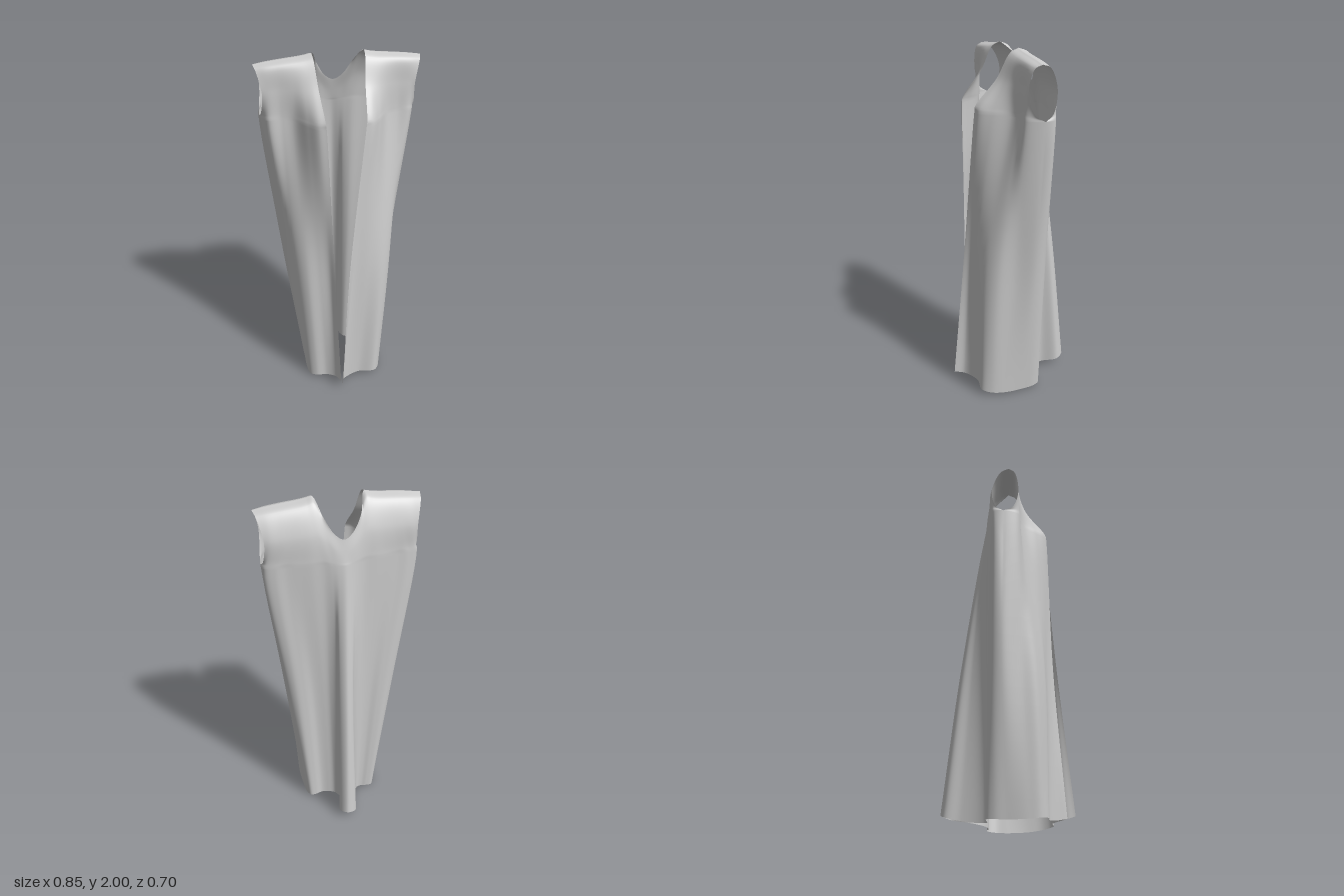
import * as THREE from 'three';
import { mergeGeometries, mergeVertices } from 'three/addons/utils/BufferGeometryUtils.js';

const COLS = 8, ROWS = 9;        // samples per control segment
const ARMPIT = 1.68, MID = 0.85;
const LIFT = [0.12, 0.53, 0.93, 1]; // heights of the upper rows, armpit to shoulder

// Cross-sections as [x, z], running from the left front edge round the back to the right front edge.
// Hem: the back swings out into a central pleat
const hem = [
  [-.036, .345], [-.022, .284], [.08, .236], [.18, .246], [.218, .2], [.232, .12], [.23, 0],
  [.225, -.07], [.205, -.108], [.17, -.11], [.13, -.1], [.09, -.11], [.055, -.13],
  [.03, -.2], [.068, -.3], [.03, -.35], [-.027, -.325], [-.042, -.24], [-.075, -.145],
  [-.1, -.11], [-.13, -.104], [-.16, -.11], [-.195, -.108], [-.215, -.07],
  [-.217, 0], [-.218, .1], [-.207, .17], [-.17, .198], [-.11, .206], [-.06, .242], [-.038, .302],
];
const mid = [
  [.015, .28], [.045, .254], [.13, .238], [.215, .216], [.268, .165], [.285, .07], [.317, -.03],
  [.305, -.08], [.27, -.11], [.22, -.115], [.17, -.11], [.12, -.12], [.08, -.135],
  [.048, -.175], [.055, -.235], [.018, -.27], [-.02, -.25], [-.04, -.2], [-.08, -.145],
  [-.12, -.12], [-.17, -.11], [-.22, -.115], [-.27, -.11], [-.31, -.08],
  [-.322, -.03], [-.29, .065], [-.267, .14], [-.215, .187], [-.145, .203], [-.095, .22], [-.067, .25],
];
// Left half at the armpit, from the front edge to the centre of the back
const armpitHalf = [
  [.1, .231], [.14, .218], [.185, .165], [.243, .087], [.3, .065], [.37, .058], [.408, -.03],
  [.4, -.085], [.35, -.105], [.29, -.11], [.23, -.12], [.17, -.13], [.11, -.135], [.07, -.145], [.035, -.153], [0, -.158],
];
// Upper left front, from the neckline to the armhole
const frontUpper = [
  [[.104, .226], [.142, .208], [.184, .156], [.24, .086], [.3, .063], [.365, .058], [.4, .022]],
  [[.118, .116], [.15, .111], [.19, .098], [.24, .076], [.3, .06], [.36, .057], [.392, .055]],
  [[.13, .045], [.165, .045], [.202, .046], [.25, .046], [.308, .045], [.367, .042], [.416, .034]],
  [[.133, 0], [.165, 0], [.202, 0], [.25, 0], [.31, 0], [.37, 0], [.427, 0]],
];
// Upper left back, from the armhole to the centre of the neck
const backUpper = [
  [[.4, -.074], [.385, -.094], [.336, -.106], [.28, -.112], [.225, -.12], [.17, -.129], [.115, -.134], [.075, -.142], [.037, -.15], [0, -.154]],
  [[.392, -.097], [.36, -.104], [.31, -.106], [.26, -.108], [.21, -.112], [.165, -.115], [.125, -.115], [.085, -.125], [.043, -.138], [0, -.142]],
  [[.416, -.048], [.367, -.052], [.308, -.054], [.25, -.055], [.202, -.055], [.165, -.053], [.132, -.05], [.094, -.094], [.047, -.12], [0, -.13]],
  [[.427, 0], [.37, 0], [.31, 0], [.25, 0], [.202, 0], [.165, 0], [.133, 0], [.095, -.088], [.048, -.117], [0, -.128]],
];
// Heights of the shoulder line and neckline, from the armhole to the centre of the back
const topY = [1.96, 1.969, 1.976, 1.982, 1.987, 1.993, 2, 1.92, 1.84, 1.81];

const mirrorX = row => row.map(([x, z]) => [-x, z]);
const mirrorAcross = row => [...row, ...mirrorX(row.slice(0, -1)).reverse()];
const raise = (row, height) => row.map(([x, z], i) => new THREE.Vector3(x, height(x, z, i), z));
const raiseUpper = (rows, tops) => rows.map((row, r) =>
  raise(row, (x, z, i) => ARMPIT + (tops[i] - ARMPIT) * LIFT[r]));

const smooth = (points, n) => new THREE.CatmullRomCurve3(points).getPoints((points.length - 1) * n);
const smoothRows = rows => rows.map(row => smooth(row, COLS));

// Cloth panel from rows below and above the armpit. Columns run smoothly from hem to shoulder,
// but beside a side seam they break at the armpit so that front and back meet.
function panel(low, high, seams) {
  const columns = low[0].map((_, i) => {
    const below = low.map(row => row[i]), above = high.map(row => row[i]);
    const whole = smooth([...below, ...above], ROWS);
    const broken = [...smooth(below, ROWS), ...smooth([below[below.length - 1], ...above], ROWS).slice(1)];
    const distance = Math.min(...seams.map(s => Math.abs(i - s)));
    const weight = Math.max(0, 1 - distance / COLS);
    return whole.map((p, j) => p.lerp(broken[j], weight));
  });
  const h = columns[0].length, index = [];
  for (let i = 0; i < columns.length - 1; i++) {
    for (let j = 0; j < h - 1; j++) {
      const a = i * h + j, b = a + h;
      index.push(a, b, b + 1, a, b + 1, a + 1);
    }
  }
  const geometry = new THREE.BufferGeometry().setFromPoints(columns.flat());
  geometry.setIndex(index);
  return geometry;
}

export function createModel() {
  // Body below the armholes, one open loop
  const body = smoothRows([
    raise(hem, (x, z) => 0.43 * z * z + (x > 0 ? 0.012 : 0)),
    raise(mid, () => MID),
    raise(mirrorAcross(armpitHalf), () => ARMPIT),
  ]);
  const seamLeft = 6 * COLS, seamRight = 24 * COLS;
  const cut = (from, to) => body.map(row => row.slice(from, to));

  // Upper panels
  const frontTop = topY.slice(0, 7).reverse();
  const left = smoothRows(raiseUpper(frontUpper, frontTop));
  const right = smoothRows(raiseUpper(frontUpper.map(mirrorX), frontTop)).map(row => row.reverse());
  const back = smoothRows(raiseUpper(backUpper.map(mirrorAcross),
    [...topY, ...topY.slice(0, -1).reverse()]));

  // Sew the shoulder seams
  const ridge = LIFT.length - 1, last = back[ridge].length - 1;
  for (let i = 0; i <= seamLeft; i++) {
    back[ridge][i].copy(left[ridge][seamLeft - i]);
    back[ridge][last - i].copy(right[ridge][i]);
  }

  const geometry = mergeVertices(mergeGeometries([
    panel(cut(0, seamLeft + 1), left, [seamLeft]),
    panel(cut(seamLeft, seamRight + 1), back, [0, last]),
    panel(cut(seamRight), right, [0]),
  ]), 1e-4);
  geometry.computeVertexNormals();

  const robe = new THREE.Mesh(geometry,
    new THREE.MeshStandardMaterial({ color: 0xcccccc, side: THREE.DoubleSide }));
  robe.name = 'sleevelessRobe';
  const group = new THREE.Group();
  group.name = 'robe';
  group.add(robe);
  return group;
}
